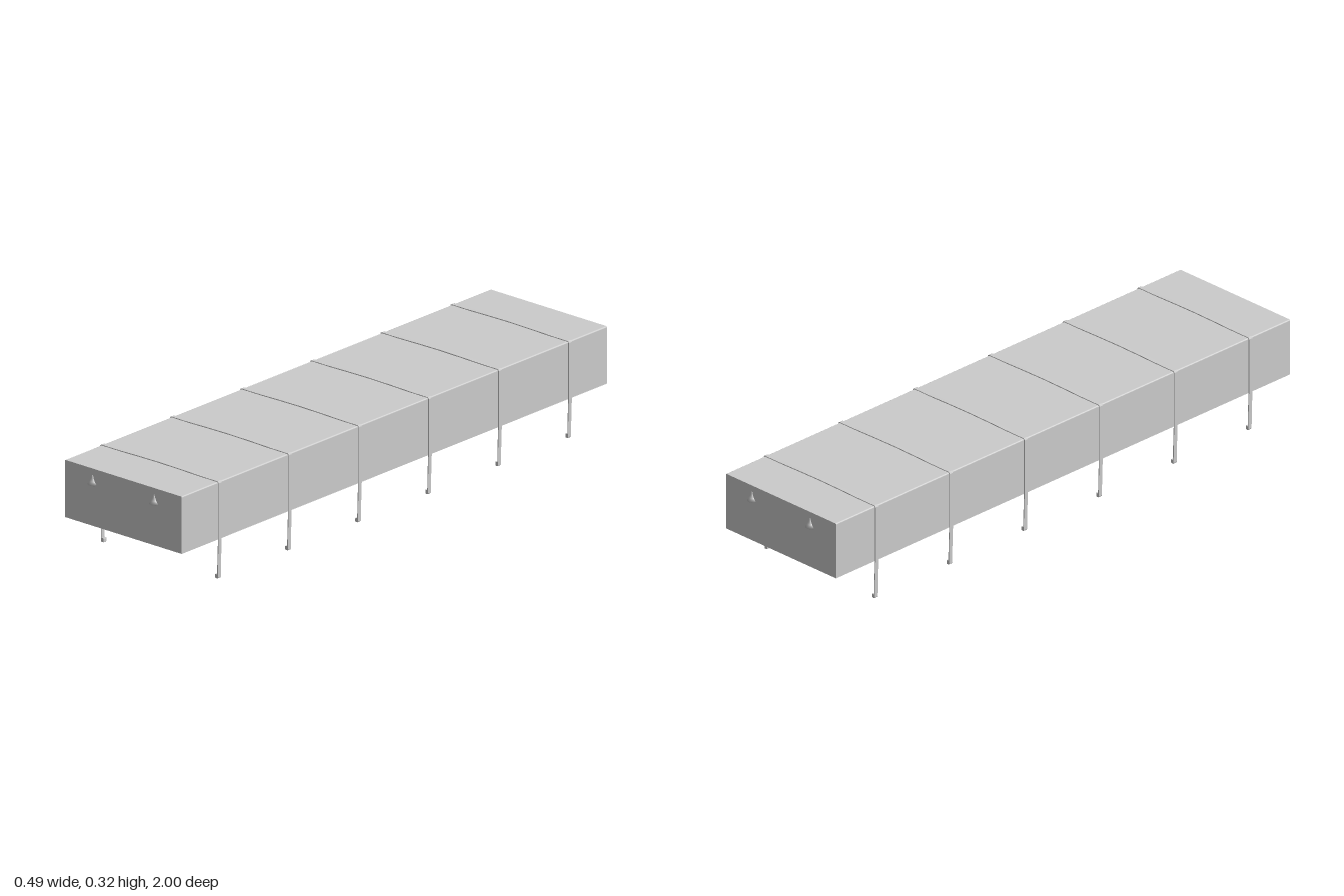
import * as THREE from 'three';

const material = new THREE.MeshStandardMaterial({ color: 0xcccccc, side: THREE.DoubleSide });
const HALF_X = 0.241, HALF_Z = 0.987, BOTTOM = 0.13, TOP = 0.319, WALL = 0.004;

function part(name, geometry, parent) {
  const mesh = new THREE.Mesh(geometry, material);
  mesh.name = name;
  parent.add(mesh);
  return mesh;
}

function rectangle(target, x, z) {
  target.moveTo(-x, -z);
  target.lineTo(x, -z);
  target.lineTo(x, z);
  target.lineTo(-x, z);
  target.closePath();
  return target;
}

// Closed strap outline: bowed over the top, down both sides, ending in hooks
function strapShape() {
  const outer = [
    [0.230, 0.003], [0.232, 0.001], [0.239, 0.001], [0.241, 0.004], [0.242, 0.06],
    [0.2445, 0.13], [0.2445, 0.316], [0.2425, 0.320], [0.239, 0.3215], [0.18, 0.3215], [0.09, 0.3235], [0, 0.3245],
  ];
  const inner = [
    [0, 0.3215], [0.09, 0.3205], [0.18, 0.3185], [0.239, 0.3185], [0.2415, 0.316],
    [0.2415, 0.13], [0.239, 0.06], [0.238, 0.014], [0.231, 0.0145], [0.230, 0.012],
  ];
  const mirror = (list) => list.map(([x, y]) => [-x, y]).reverse();
  const points = [...outer, ...mirror(outer).slice(1), ...mirror(inner), ...inner.slice(1)];
  return new THREE.Shape(points.map(([x, y]) => new THREE.Vector2(x, y)));
}

export function createModel() {
  const model = new THREE.Group();
  model.name = 'strappedCover';

  // Hollow cover, open underneath
  const cover = new THREE.Group();
  cover.name = 'cover';
  model.add(cover);
  const ring = rectangle(new THREE.Shape(), HALF_X, HALF_Z);
  ring.holes.push(rectangle(new THREE.Path(), HALF_X - WALL, HALF_Z - WALL));
  const walls = new THREE.ExtrudeGeometry(ring, { depth: TOP - WALL - BOTTOM, bevelEnabled: false });
  walls.rotateX(-Math.PI / 2);
  part('coverWalls', walls, cover).position.y = BOTTOM;

  // Top panel with softened upper edges
  const r = WALL;
  const panel = new THREE.Shape();
  panel.moveTo(-HALF_X, 0);
  panel.lineTo(HALF_X, 0);
  panel.absarc(HALF_X - r, 0, r, 0, Math.PI / 2);
  panel.lineTo(-HALF_X + r, r);
  panel.absarc(-HALF_X + r, 0, r, Math.PI / 2, Math.PI);
  const topGeometry = new THREE.ExtrudeGeometry(panel, { depth: HALF_Z * 2, bevelEnabled: false, curveSegments: 4 });
  part('coverTop', topGeometry, cover).position.set(0, TOP - WALL, -HALF_Z);

  // Six straps spaced along the cover
  const width = 0.014;
  const strapGeometry = new THREE.ExtrudeGeometry(strapShape(), { depth: width, bevelEnabled: false });
  for (let i = 0; i < 6; i++) {
    part('strap' + (i + 1), strapGeometry, model).position.z = (i - 2.5) * 0.325 - width / 2;
  }

  // Flared half-cone tabs, two on each end
  const profile = [[0, 0], [0.018, 0], [0.0095, 0.011], [0.0045, 0.021], [0.002, 0.031], [0, 0.032]]
    .map(([x, y]) => new THREE.Vector2(x, y));
  const tabGeometry = new THREE.LatheGeometry(profile, 10, -Math.PI / 2, Math.PI);
  tabGeometry.scale(1, 1, 0.72);
  for (const end of [1, -1]) {
    for (const side of [1, -1]) {
      const tab = part(end > 0 ? 'frontTab' : 'backTab', tabGeometry, model);
      tab.position.set(side * 0.127, 0.266, end * HALF_Z);
      tab.rotation.y = end > 0 ? 0 : Math.PI;
    }
  }
  return model;
}
